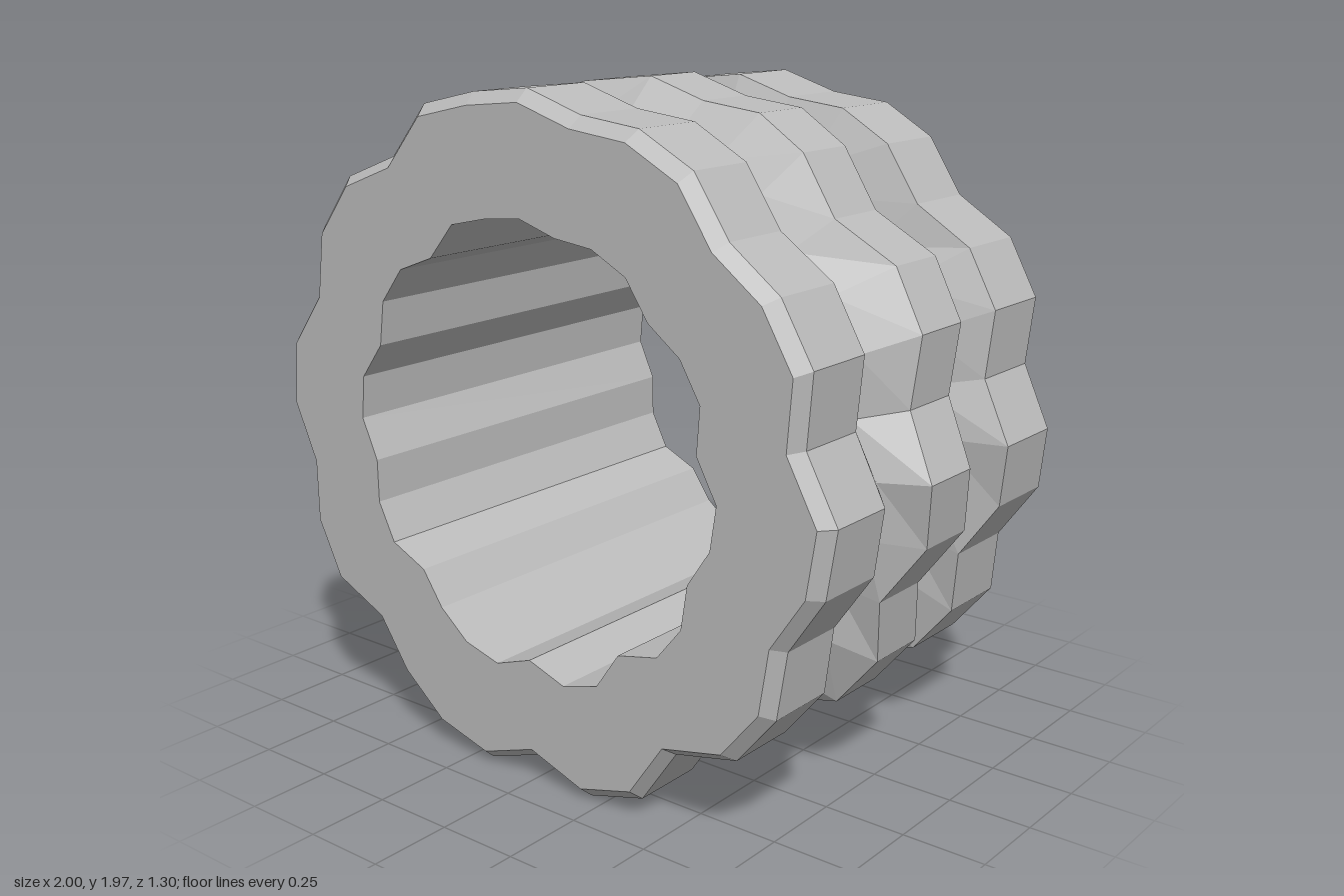
import * as THREE from 'three';

// Uneven radius of the ring every 11.25 degrees, counter-clockwise from +x
const RADII = [
  1.0, 0.92, 0.995, 0.987, 0.94, 0.997, 0.995, 0.96,
  1.0, 1.0, 1.015, 0.94, 1.005, 1.0, 0.93, 1.0,
  1.0, 0.935, 0.99, 0.995, 0.905, 0.957, 0.995, 0.99,
  0.905, 0.99, 0.995, 0.9, 0.995, 0.995, 0.93, 0.988,
];
// Forward or backward drift of the rib edges at each angle
const DRIFT = [
  0.07, 0.03, 0.01, -0.01, 0.05, 0.04, 0, 0,
  0, 0.06, -0.02, 0, 0.02, 0.01, 0.03, 0,
  0, 0.04, 0, 0.02, 0.05, 0.02, 0, 0.01,
  0.03, 0.02, 0.02, 0.04, 0.04, 0.03, 0.08, 0.03,
];
const SIDES = RADII.length;
const CENTRE_Y = 0.975;

// Profile points: [z, share of the radius, share of the drift]
const FRONT_BORE = [0.65, 0.66, 0];
const FRONT_RIM = [0.65, 0.965, 0];
const BACK_RIM = [-0.65, 0.83, 0];
const BACK_BORE = [-0.64, 0.66, 0];
const OUTSIDE = [
  FRONT_RIM,
  [0.61, 1, 0], [0.385, 1, 0.2],        // front rib
  [0.235, 0.87, 0],                     // front groove
  [0.1, 1, 1], [-0.1, 1, 1],            // middle rib
  [-0.23, 0.79, 0],                     // back groove
  [-0.32, 0.98, 0.6], [-0.56, 0.98, 0.6], // back rib
  [-0.62, 0.91, 0],
  BACK_RIM,
];

function ringPoint([z, scale, drift], k) {
  const i = k % SIDES;
  const a = (i / SIDES) * Math.PI * 2;
  const r = RADII[i] * scale;
  return [Math.cos(a) * r, CENTRE_Y + Math.sin(a) * r, z + DRIFT[i] * drift];
}

// Sweep a profile around the ring with faceted sides
function sweep(profile) {
  const pos = [];
  for (let j = 0; j < profile.length - 1; j++) {
    for (let k = 0; k < SIDES; k++) {
      const a = ringPoint(profile[j], k);
      const b = ringPoint(profile[j], k + 1);
      const c = ringPoint(profile[j + 1], k);
      const d = ringPoint(profile[j + 1], k + 1);
      pos.push(...a, ...c, ...b, ...b, ...c, ...d);
    }
  }
  const geometry = new THREE.BufferGeometry();
  geometry.setAttribute('position', new THREE.Float32BufferAttribute(pos, 3));
  geometry.computeVertexNormals();
  return geometry;
}

export function createModel() {
  const group = new THREE.Group();
  group.name = 'ribbedRing';
  const grey = new THREE.MeshStandardMaterial({ color: 0xbbbbbb });
  grey.name = 'grey';
  grey.flatShading = true;

  const parts = {
    frontFace: [FRONT_BORE, FRONT_RIM],
    ribbedOutside: OUTSIDE,
    backFace: [BACK_RIM, BACK_BORE],
    bore: [BACK_BORE, FRONT_BORE],
  };
  for (const [name, profile] of Object.entries(parts)) {
    const mesh = new THREE.Mesh(sweep(profile), grey);
    mesh.name = name;
    group.add(mesh);
  }
  return group;
}
